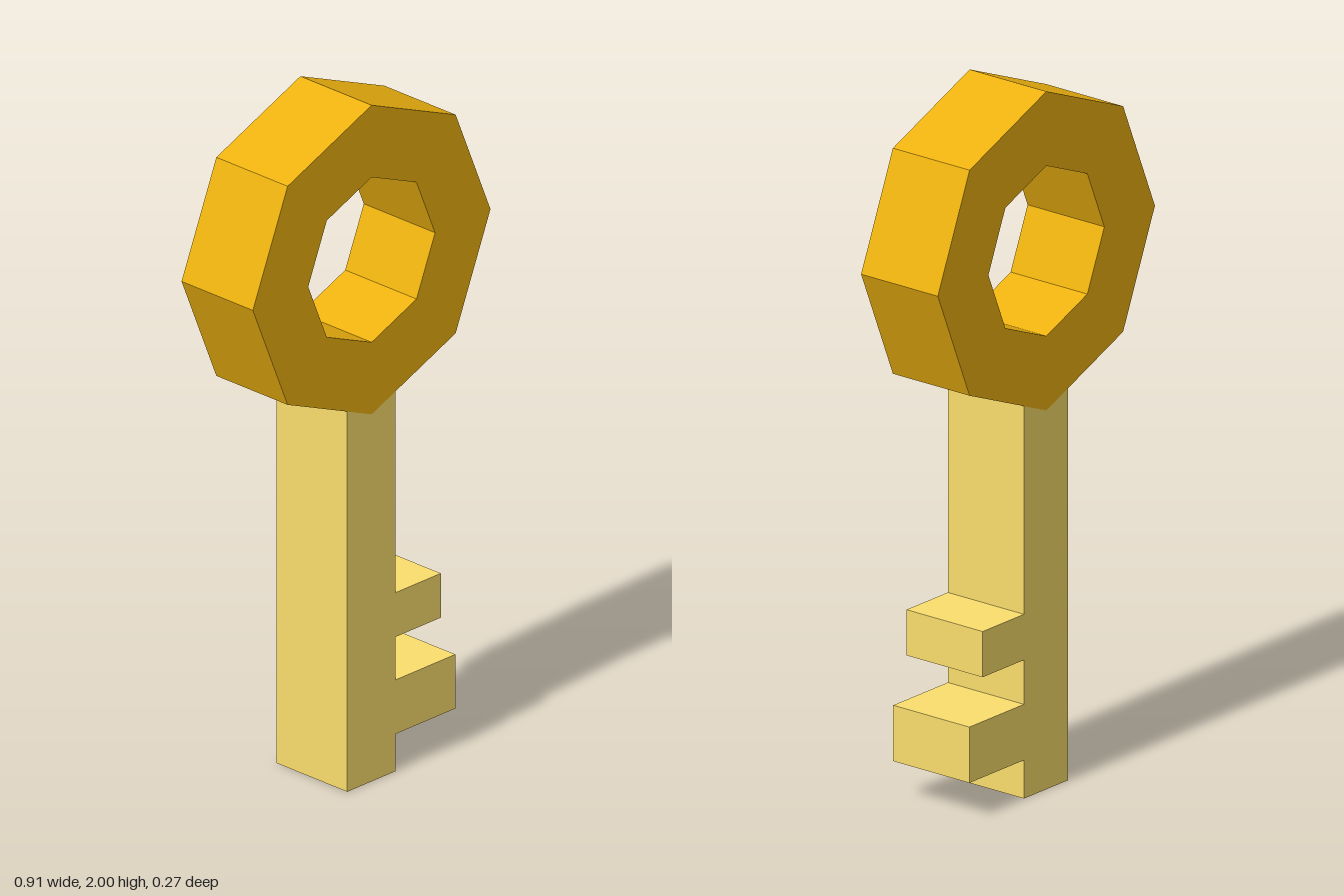
import * as THREE from 'three';

const DEPTH = 0.268;

// Corner points of an octagon with a corner at the top
function octagon(radius) {
  return Array.from({ length: 8 }, (_, i) => {
    const a = (i * Math.PI) / 4;
    return new THREE.Vector2(Math.cos(a) * radius, Math.sin(a) * radius);
  });
}

// Extrude a flat outline, centred on z = 0
function slab(name, shape, depth, color) {
  const geometry = new THREE.ExtrudeGeometry(shape, { depth, bevelEnabled: false });
  geometry.translate(0, 0, -depth / 2);
  const mesh = new THREE.Mesh(geometry, new THREE.MeshStandardMaterial({ color, flatShading: true }));
  mesh.name = name;
  return mesh;
}

export function createModel() {
  const model = new THREE.Group();
  model.name = 'key';

  // Octagonal grip ring
  const ring = new THREE.Shape(octagon(0.457));
  ring.holes.push(new THREE.Path(octagon(0.244)));
  const bow = slab('bow', ring, DEPTH, 0xedb20f);
  bow.position.y = 1.543;
  model.add(bow);

  // Shaft outline with two teeth; its top is buried in the ring
  const w = 0.093;
  const outline = [[-w, 0], [w, 0]];
  for (const [bottom, top, reach] of [[0.11, 0.27, 0.323], [0.397, 0.528, 0.267]]) {
    outline.push([w, bottom], [reach, bottom], [reach, top], [w, top]);
  }
  outline.push([w, 1.299], [-w, 1.299]);
  const shaft = new THREE.Shape(outline.map(([x, y]) => new THREE.Vector2(x, y)));
  // A hair thinner than the ring so the faces do not flicker
  model.add(slab('shaftAndTeeth', shaft, DEPTH - 0.002, 0xfade6c));

  return model;
}
